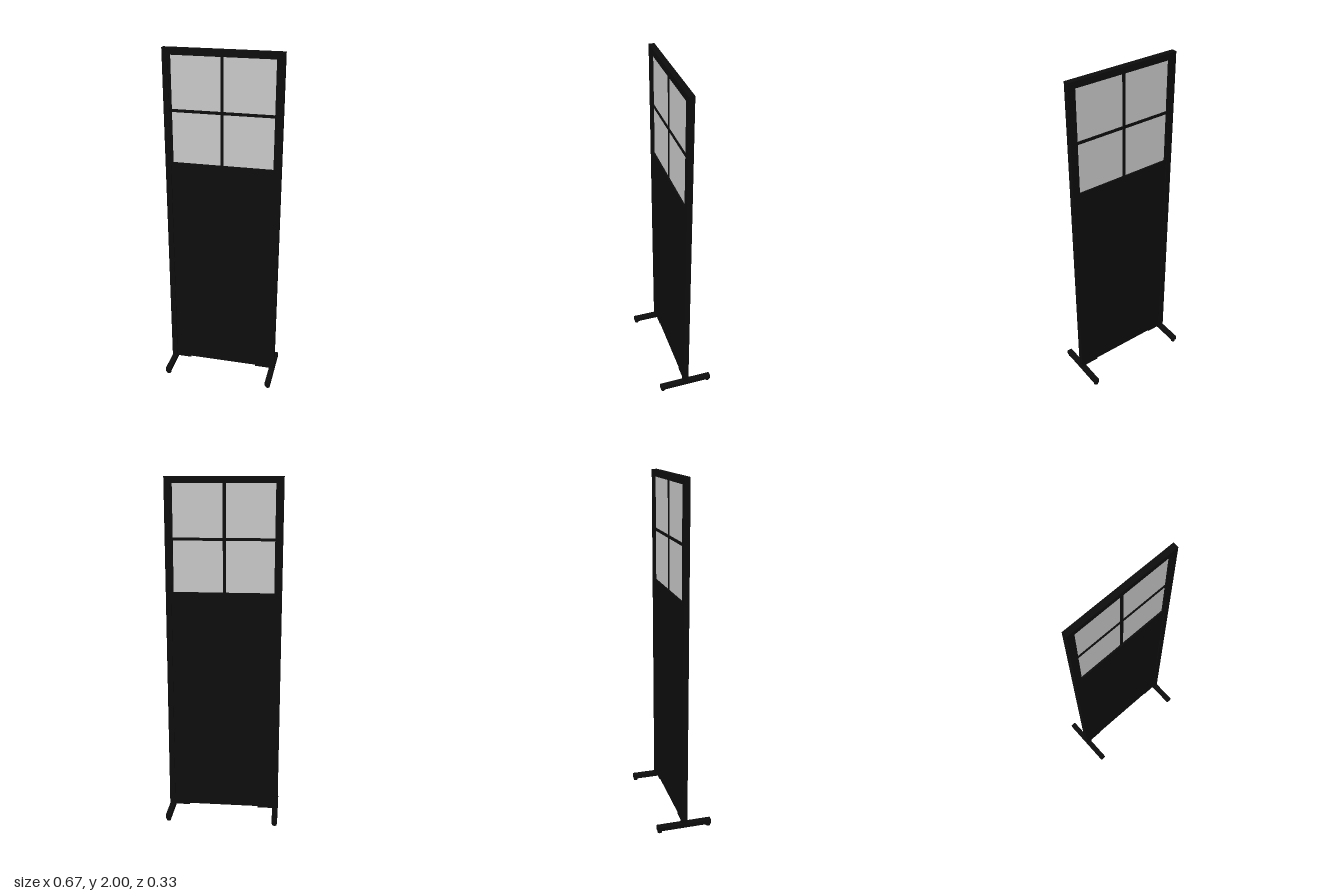
import * as THREE from 'three';
import { RoundedBoxGeometry } from 'three/addons/geometries/RoundedBoxGeometry.js';

export function createModel() {
  const model = new THREE.Group();
  model.name = 'partitionScreen';
  const black = new THREE.MeshStandardMaterial({ color: 0x0d0d0d });
  black.name = 'black frame';
  const frosted = new THREE.MeshStandardMaterial({ color: 0xcacaca });
  frosted.name = 'frosted pane';

  const add = (name, geometry, material, x, y, z = 0) => {
    const mesh = new THREE.Mesh(geometry, material);
    mesh.name = name;
    mesh.position.set(x, y, z);
    model.add(mesh);
  };
  // Box given by its lower and upper x and y limits and its depth
  const slab = (name, x0, x1, y0, y1, depth, material = black) =>
    add(name, new THREE.BoxGeometry(x1 - x0, y1 - y0, depth), material, (x0 + x1) / 2, (y0 + y1) / 2);

  // Posts, feet and pads, mirrored left and right
  for (const [side, s] of [['left', 1], ['right', -1]]) {
    const span = (a, b) => (s > 0 ? [a, b] : [-b, -a]);
    slab(side + 'Post', ...span(0.299, 0.331), 0.04, 2, 0.032);
    slab(side + 'WindowStile', ...span(0.287, 0.3), 1.34, 1.97, 0.026);
    slab(side + 'BottomBracket', ...span(0.21, 0.3), 0.038, 0.05, 0.02);
    add(side + 'Foot', new RoundedBoxGeometry(0.033, 0.031, 0.326, 2, 0.005), black, s * 0.316, 0.027);
    for (const z of [-0.147, 0.147]) {
      add(side + 'FootPad', new THREE.CylinderGeometry(0.013, 0.013, 0.014, 20), black, s * 0.316, 0.007, z);
    }
  }

  // Rails and lower solid panel
  slab('topRail', -0.3, 0.3, 1.963, 2, 0.032);
  slab('middleRail', -0.3, 0.3, 1.33, 1.361, 0.026);
  slab('lowerPanel', -0.3, 0.3, 0.046, 1.335, 0.018);

  // Window with four lights
  slab('windowPane', -0.29, 0.29, 1.355, 1.967, 0.008, frosted);
  slab('verticalGlazingBar', -0.0125, 0.0045, 1.355, 1.967, 0.018);
  slab('horizontalGlazingBar', -0.29, 0.29, 1.652, 1.668, 0.018);

  return model;
}
